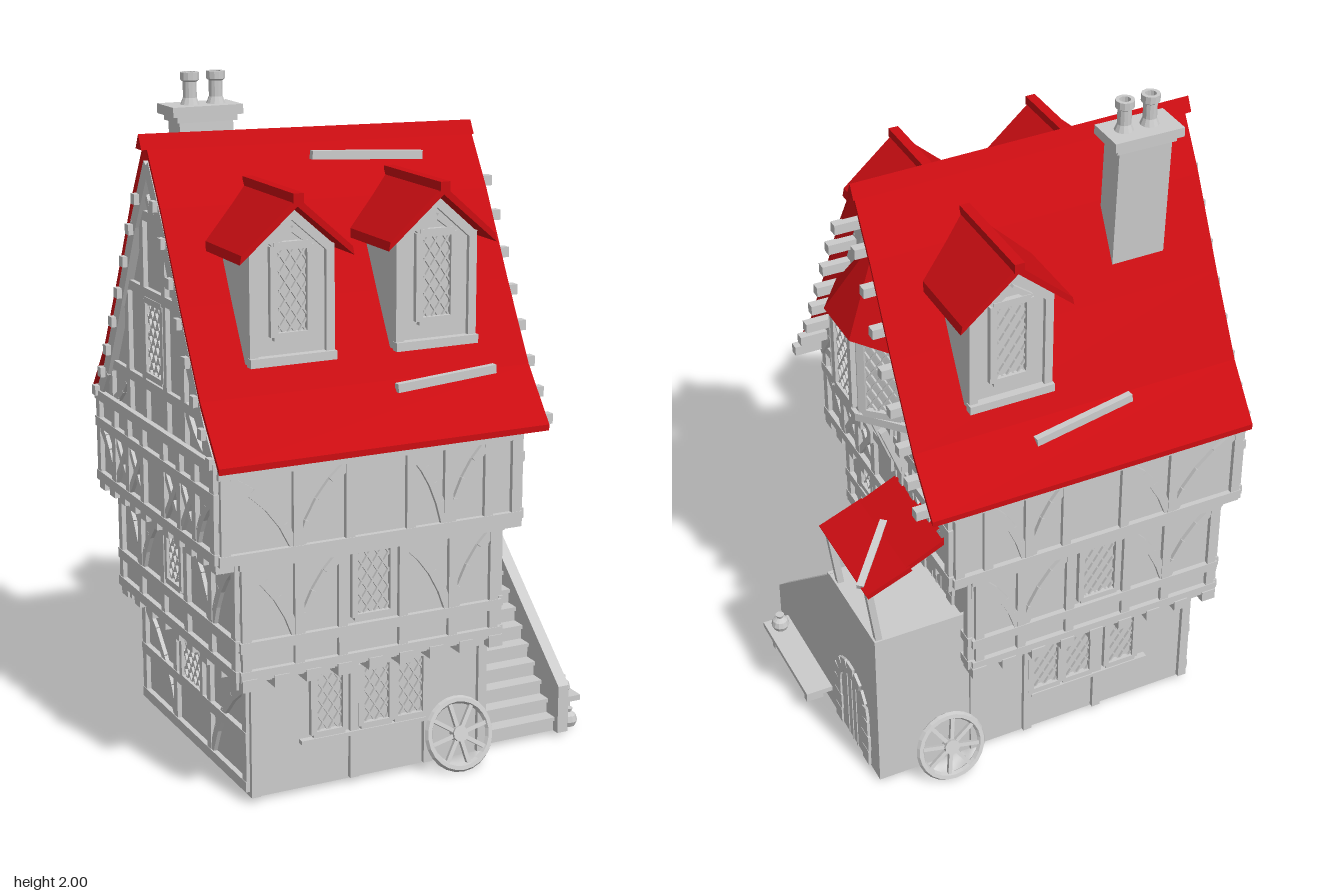
import * as THREE from 'three';

const grey = new THREE.MeshStandardMaterial({ color: 0xcccccc, flatShading: true, side: THREE.DoubleSide });
const red = new THREE.MeshStandardMaterial({ color: 0xcc0d12, flatShading: true, side: THREE.DoubleSide });

function add(parent, name, geo, mat = grey, x = 0, y = 0, z = 0) {
  const m = new THREE.Mesh(geo, mat);
  m.name = name;
  m.position.set(x, y, z);
  parent.add(m);
  return m;
}
// Box from its limits
const block = (g, name, x0, x1, y0, y1, z0, z1, mat) =>
  add(g, name, new THREE.BoxGeometry(x1 - x0, y1 - y0, z1 - z0), mat, (x0 + x1) / 2, (y0 + y1) / 2, (z0 + z1) / 2);
// Box stretched between two points
function strut(g, name, a, b, w, h, mat) {
  const p = new THREE.Vector3(...a), q = new THREE.Vector3(...b);
  const m = add(g, name, new THREE.BoxGeometry(w, h, p.distanceTo(q)), mat);
  m.position.copy(p).lerp(q, 0.5);
  m.lookAt(q);
}
const extrude = (pts, depth) => new THREE.ExtrudeGeometry(
  new THREE.Shape(pts.map(p => new THREE.Vector2(...p))), { depth, bevelEnabled: false });
// Prism along x from [z, y] points
const prismX = (pts, x0, x1) => extrude(pts.map(([z, y]) => [-z, y]), x1 - x0).rotateY(Math.PI / 2).translate(x0, 0, 0);

// Wall plane: local x runs along the wall, z points outward
function wall(parent, name, x, z, turn) {
  const g = new THREE.Group();
  g.name = name;
  g.position.set(x, 0, z);
  g.rotation.y = turn;
  parent.add(g);
  return g;
}
function bar(g, u0, v0, u1, v1, w = 0.028, d = 0.014, name = 'timber') {
  const m = add(g, name, new THREE.BoxGeometry(Math.hypot(u1 - u0, v1 - v0), w, d), grey, (u0 + u1) / 2, (v0 + v1) / 2, d / 2);
  m.rotation.z = Math.atan2(v1 - v0, u1 - u0);
}
// Curved brace
function brace(g, u0, v0, u1, v1) {
  const c = new THREE.QuadraticBezierCurve(new THREE.Vector2(u0, v0),
    new THREE.Vector2(u0 + (u1 - u0) * 0.3, v0 + (v1 - v0) * 0.65), new THREE.Vector2(u1, v1));
  const p = c.getPoints(4);
  for (let i = 0; i < 4; i++) bar(g, p[i].x, p[i].y, p[i + 1].x, p[i + 1].y, 0.026, 0.012, 'brace');
}
// Leaded window with diamond lattice
function leadWindow(g, u, v, w, h, frame = 0.018) {
  for (const s of [-1, 1]) {
    bar(g, u + s * w / 2, v - h / 2, u + s * w / 2, v + h / 2, frame, 0.016, 'windowFrame');
    bar(g, u - w / 2, v + s * h / 2, u + w / 2, v + s * h / 2, frame, 0.016, 'windowFrame');
    for (let c = -h; c <= h; c += 0.05) {
      const a = Math.max(-w / 2, (-h / 2 - c) / 1.5), b = Math.min(w / 2, (h / 2 - c) / 1.5);
      if (b - a > 0.01) bar(g, u + s * a, v + 1.5 * a + c, u + s * b, v + 1.5 * b + c, 0.005, 0.008, 'lattice');
    }
  }
}
// Arched doorway of separate stones
function stoneArch(g, u, v, r, spring, t) {
  add(g, 'doorLeaf', extrude([[-r, v], [r, v], ...Array.from({ length: 9 }, (_, i) =>
    [r * Math.cos(i * Math.PI / 8), spring + r * Math.sin(i * Math.PI / 8)])], 0.003), grey, u);
  for (let i = 0; i < 7; i++) {
    const a = (i + 0.5) * Math.PI / 7, R = r + t / 2;
    const m = add(g, 'archStone', new THREE.BoxGeometry(t, R * 0.43, 0.016), grey, u + R * Math.cos(a), spring + R * Math.sin(a), 0.001);
    m.rotation.z = a;
  }
  for (const s of [-1, 1]) for (let i = 0; i < 3; i++) {
    const h = (spring - v) / 3;
    add(g, 'jambStone', new THREE.BoxGeometry(t + 0.008 * (i % 2), h * 0.94, 0.016), grey, u + s * (r + t / 2), v + h * (i + 0.5), 0.001);
  }
  for (const k of [-0.4, 0, 0.4]) bar(g, u + k * r, v, u + k * r, spring + r * 0.85, 0.005, 0.006, 'doorSeam');
}
// Storey framing: rails plus posts
function framing(g, u0, u1, rails, posts) {
  for (const v of rails) bar(g, u0, v, u1, v, 0.03, 0.016);
  for (const u of posts) bar(g, u, rails[0], u, rails[rails.length - 1]);
}
function joists(g, u0, u1, v, n, out = 0.02) {
  for (let i = 0; i < n; i++)
    add(g, 'joistEnd', new THREE.BoxGeometry(0.045, 0.035, 0.09), grey, u0 + (u1 - u0) * i / (n - 1), v, out - 0.045);
}

// Half profile of the main roof, [z, y]
const slope = [[0, 1.845], [0.11, 1.665], [0.24, 1.415], [0.37, 1.18], [0.49, 1.025]];
function roofY(z) {
  z = Math.abs(z);
  const i = Math.max(1, slope.findIndex(p => p[0] >= z));
  const [a, b] = [slope[i - 1], slope[i]];
  return a[1] + (b[1] - a[1]) * (z - a[0]) / (b[0] - a[0]);
}
const bothSides = (pts, dy) => [...pts.slice(1).reverse().map(([z, y]) => [-z, y + dy]), ...pts.map(([z, y]) => [z, y + dy])];
// Ridge sinks slightly toward the right end
function sag(geo) {
  const p = geo.attributes.position;
  for (let i = 0; i < p.count; i++) p.setY(i, p.getY(i) - (p.getX(i) + 0.62) * 0.022 * (p.getY(i) - 1));
  geo.computeVertexNormals();
  return geo;
}

function dormer(root, x, turn) {
  const g = wall(root, 'dormer', x, 0, turn);
  add(g, 'dormerBody', extrude([[-0.125, 1.26], [0.125, 1.26], [0.125, 1.58], [0, 1.69], [-0.125, 1.58]], 0.3), grey, 0, 0, 0.05);
  add(g, 'dormerRoof', extrude([[-0.17, 1.55], [-0.165, 1.575], [0, 1.72], [0.165, 1.575], [0.17, 1.55], [0, 1.695]], 0.325), red, 0, 0, 0.075);
  block(g, 'dormerRidge', -0.015, 0.015, 1.705, 1.732, 0.07, 0.408, red);
  const f = wall(g, 'dormerFront', 0, 0.35, 0);
  leadWindow(f, 0, 1.46, 0.11, 0.25, 0.022);
  for (const s of [-1, 1]) {
    bar(f, s * 0.115, 1.27, s * 0.115, 1.58, 0.025);
    bar(f, s * 0.115, 1.57, 0, 1.67, 0.025);
    bar(f, s * 0.06, 1.585, 0, 1.63, 0.016);
  }
  bar(f, -0.13, 1.27, 0.13, 1.27, 0.025, 0.025, 'dormerSill');
}

function wheel(root, x, z, tilt) {
  const g = new THREE.Group();
  g.name = 'cartWheel';
  add(g, 'rim', new THREE.TorusGeometry(0.1, 0.012, 6, 24));
  add(g, 'hub', new THREE.CylinderGeometry(0.024, 0.024, 0.028, 10).rotateX(Math.PI / 2));
  for (let i = 0; i < 4; i++) add(g, 'spokes', new THREE.BoxGeometry(0.2, 0.012, 0.012)).rotation.z = i * Math.PI / 4 + 0.2;
  g.position.set(x, 0.11, z);
  g.rotation.x = tilt;
  root.add(g);
}

export function createModel() {
  const root = new THREE.Group();
  root.name = 'timberHouse';
  const H = Math.PI / 2;

  // Ground floor walls, open underneath, with stacked storeys above
  for (const s of [-1, 1]) {
    block(root, 'groundWallLong', -0.5, 0.25, 0.015, 0.4, s * 0.395 - 0.005, s * 0.395 + 0.005);
    block(root, 'groundWallShort', s * 0.37 - 0.13, s * 0.37 - 0.12, 0.015, 0.4, -0.4, 0.4);
  }
  block(root, 'firstFloor', -0.55, 0.265, 0.385, 0.75, -0.45, 0.45);
  block(root, 'secondFloor', -0.61, 0.325, 0.735, 1.02, -0.455, 0.455);
  add(root, 'gableBlock', prismX(bothSides([...slope.slice(0, 4), [0.455, 1.04]], -0.04), -0.595, 0.325));

  // Front and back framing
  for (const s of [1, -1]) {
    const t = s > 0 ? 0 : Math.PI, X = x => s * x;
    const g0 = wall(root, 'groundFraming', 0, s * 0.4, t);
    for (const x of [-0.49, -0.18, 0.06, 0.24]) bar(g0, X(x), 0.02, X(x), 0.39);
    bar(g0, X(-0.35), 0.16, X(0.05), 0.16, 0.012, 0.02, 'windowSill');
    for (const x of [-0.26, -0.11, 0]) leadWindow(g0, X(x), 0.27, 0.1, 0.19);
    joists(g0, X(-0.53), X(0.25), 0.385, 9, 0.07);

    const g1 = wall(root, 'firstFraming', 0, s * 0.45, t);
    framing(g1, X(-0.555), X(0.27), [0.41, 0.495, 0.735], [-0.535, -0.375, -0.24, -0.05, 0.11, 0.245].map(X));
    leadWindow(g1, X(-0.145), 0.63, 0.12, 0.2);
    for (const [a, b] of [[-0.38, -0.53], [0.115, 0.24], [-0.375, -0.25], [0.1, -0.04]]) brace(g1, X(a), 0.5, X(b), 0.72);

    const g2 = wall(root, 'secondFraming', 0, s * 0.455, t);
    framing(g2, X(-0.615), X(0.33), [0.755, 1], [-0.595, -0.38, -0.22, -0.03, 0.09, 0.22, 0.31].map(X));
    for (const [a, b] of [[-0.39, -0.58], [-0.37, -0.23], [0.08, -0.02], [0.1, 0.21]]) brace(g2, X(a), 0.77, X(b), 0.98);
  }

  // Side framing; u is -z on the right wall and z on the left
  for (const s of [1, -1]) {
    const right = s > 0;
    const g0 = wall(root, 'groundSide', right ? 0.25 : -0.5, 0, s * H);
    if (right) leadWindow(g0, -0.3, 0.3, 0.1, 0.16);
    else {
      framing(g0, -0.4, 0.4, [0.05, 0.2, 0.36], [-0.385, -0.13, 0.13, 0.385]);
      leadWindow(g0, 0, 0.28, 0.16, 0.14);
      brace(g0, -0.14, 0.06, -0.37, 0.34);
      brace(g0, 0.14, 0.06, 0.37, 0.34);
    }
    joists(g0, -0.42, 0.42, 0.385, 9, right ? 0.02 : 0.06);

    const g1 = wall(root, 'firstSide', right ? 0.265 : -0.55, 0, s * H);
    framing(g1, -0.455, 0.455, [0.41, 0.5, 0.73], right ? [-0.435, -0.35, -0.22, -0.14, -0.01, 0.435] : [-0.435, -0.27, -0.09, 0.09, 0.27, 0.435]);
    if (right) {
      for (const u of [-0.285, -0.075]) leadWindow(g1, u, 0.625, 0.09, 0.18);
      stoneArch(g1, 0.215, 0.54, 0.075, 0.66, 0.04);
    } else {
      leadWindow(g1, 0, 0.625, 0.11, 0.18);
      for (const k of [-1, 1]) { brace(g1, k * 0.28, 0.51, k * 0.42, 0.72); brace(g1, k * 0.26, 0.51, k * 0.1, 0.72); }
    }
    joists(g1, -0.43, 0.43, 0.735, 11, right ? 0.075 : 0.07);

    const g2 = wall(root, 'secondSide', right ? 0.325 : -0.61, 0, s * H);
    const posts = [-0.44, -0.31, -0.2, -0.08, 0.08, 0.2, 0.31, 0.44];
    framing(g2, -0.46, 0.46, [0.76, 0.93, 1.015], posts);
    for (const i of [1, 2, 4, 5]) {
      bar(g2, posts[i], 0.77, posts[i + 1], 0.92, 0.02, 0.012);
      bar(g2, posts[i], 0.92, posts[i + 1], 0.77, 0.02, 0.01);
    }
    for (const k of [-1, 1]) brace(g2, k * 0.32, 0.77, k * 0.43, 0.92);

    // Gable studs, rails and rafters
    const g3 = wall(root, 'gableSide', right ? 0.325 : -0.595, 0, s * H);
    for (const u of [-0.36, -0.21, -0.08, 0.08, 0.21, 0.36]) bar(g3, u, 1.01, u, roofY(u) - 0.06);
    for (const [v, w] of [[1.13, 0.36], [1.4, 0.21], [1.62, 0.1]]) bar(g3, -w, v, w, v);
    const feet = [0, 0.11, 0.24, 0.37, 0.445];
    for (const k of [-1, 1]) {
      for (let i = 0; i < 4; i++) bar(g3, k * feet[i], roofY(feet[i]) - 0.075, k * feet[i + 1], roofY(feet[i + 1]) - 0.075, 0.04, 0.025, 'rafter');
      brace(g3, k * 0.22, 1.14, k * 0.35, 1.015);
      bar(g3, 0, 1.62, k * 0.05, 1.7, 0.018);
    }
    if (!right) leadWindow(g3, 0, 1.27, 0.13, 0.22);
    // Purlin ends below the roof edge
    for (const k of [-1, 1]) for (let i = 0; i < 8; i++) {
      const z = 0.07 + i * 0.053, y = roofY(z + 0.014) - 0.026;
      block(root, 'purlinEnd', right ? 0.31 : -0.635, right ? 0.435 : -0.58, y - 0.03, y, k * z - 0.014, k * z + 0.014);
    }
  }

  // Main roof shell with ridge cap
  const outer = bothSides(slope, 0), inner = bothSides(slope, -0.018).reverse();
  add(root, 'mainRoof', sag(prismX([...outer, ...inner], -0.622, 0.402)), red);
  add(root, 'ridgeCap', sag(prismX([[-0.022, 1.815], [0, 1.857], [0.022, 1.815]], -0.64, 0.407)), red);
  for (const [a, b] of [[[-0.14, 1.775, 0.055], [0.21, 1.755, 0.06]], [[-0.04, 1.16, 0.395], [0.28, 1.18, 0.385]],
    [[-0.27, 1.17, -0.385], [0.045, 1.13, -0.41]]]) strut(root, 'roofPlank', a, b, 0.02, 0.025);

  dormer(root, -0.345, 0);
  dormer(root, 0.1, 0);
  dormer(root, 0.1, Math.PI);

  // Chimney with two pots
  strut(root, 'chimneyStack', [-0.383, 1.4, -0.15], [-0.383, 1.885, -0.17], 0.165, 0.085);
  block(root, 'chimneyCap', -0.49, -0.275, 1.88, 1.908, -0.235, -0.112);
  block(root, 'chimneyCollar', -0.475, -0.29, 1.862, 1.885, -0.22, -0.12);
  for (const x of [-0.415, -0.335]) add(root, 'chimneyPot', new THREE.LatheGeometry(
    [[0.028, 0], [0.02, 0.02], [0.02, 0.065], [0.027, 0.07], [0.027, 0.092], [0.016, 0.092], [0.016, 0.05], [0, 0.05]]
      .map(p => new THREE.Vector2(...p)), 12), grey, x, 1.908, -0.17);

  // Oriel bay on the right gable
  const bay = (k, n = 1) => [[0.3, -0.19 * k], [0.335 * n, -0.19 * k], [0.44 * n, -0.075 * k], [0.44 * n, 0.075 * k], [0.335 * n, 0.19 * k], [0.3, 0.19 * k]];
  const slab = (name, pts, y, h) => add(root, name, extrude(pts, h).rotateX(-H), grey, 0, y);
  slab('orielBody', bay(1), 1.13, 0.28);
  slab('orielSill', bay(1.06, 1.03), 1.115, 0.025);
  for (const [x, z, t, w] of [[0.44, 0, H, 0.12], [0.3875, 0.1325, 0.74, 0.115], [0.3875, -0.1325, Math.PI - 0.74, 0.115]])
    leadWindow(wall(root, 'orielFace', x, z, t), 0, 1.275, w, 0.24, 0.022);
  const eave = [[0.31, 1.4, 0.23], [0.375, 1.4, 0.215], [0.465, 1.4, 0.09], [0.465, 1.4, -0.09], [0.375, 1.4, -0.215], [0.31, 1.4, -0.23]];
  const tris = [];
  for (let i = 0; i < 5; i++) tris.push(0.335, 1.65, 0, ...eave[i], ...eave[i + 1]);
  const orielRoof = new THREE.BufferGeometry();
  orielRoof.setAttribute('position', new THREE.Float32BufferAttribute(tris, 3));
  orielRoof.computeVertexNormals();
  add(root, 'orielRoof', orielRoof, red);
  for (const z of [-0.15, -0.075, 0.075, 0.15]) {
    strut(root, 'orielBracket', [0.33, 0.92, z], [0.4, 1.11, z], 0.022, 0.022);
    block(root, 'orielPost', 0.325, 0.35, 0.9, 1.12, z - 0.012, z + 0.012);
  }

  // Outside stair of thin risers and treads, open underneath
  for (let i = 0; i < 11; i++) {
    const y = 0.06 + i * 0.046, z = 0.37 - i * 0.04;
    block(root, 'stairRiser', 0.245, 0.52, y - (i ? 0.058 : 0.045), y - 0.012, z - 0.01, z);
    block(root, 'stairTread', 0.245, 0.52, y - 0.012, y, z - 0.05, z + 0.008);
  }
  // Landing and outer walls
  block(root, 'landing', 0.245, 0.545, 0.525, 0.545, -0.4, -0.03);
  block(root, 'landingBackWall', 0.245, 0.55, 0.015, 0.57, -0.405, -0.395);
  add(root, 'stairParapet', prismX([[0.395, 0.015], [0.395, 0.165], [-0.07, 0.57], [-0.405, 0.57], [-0.405, 0.015]], 0.517, 0.553));
  stoneArch(wall(root, 'cellarDoor', 0.553, 0, H), 0.215, 0.02, 0.08, 0.2, 0.045);

  // Porch roof on leaning posts
  strut(root, 'porchRoof', [0.32, 0.88, -0.25], [0.45, 0.818, -0.25], 0.33, 0.016, red);
  strut(root, 'porchRoofLower', [0.44, 0.82, -0.25], [0.577, 0.765, -0.25], 0.345, 0.016, red);
  strut(root, 'porchPlank', [0.43, 0.833, -0.21], [0.58, 0.772, -0.38], 0.022, 0.016);
  for (const z of [-0.11, -0.39]) {
    strut(root, 'porchPost', [0.535, 0.56, z], [0.562, 0.765, z], 0.02, 0.02);
    strut(root, 'porchRafter', [0.33, 0.86, z], [0.565, 0.757, z], 0.018, 0.018);
  }

  // Wheels, bench and jugs
  wheel(root, 0.14, 0.455, -0.3);
  wheel(root, 0.34, -0.455, 0.3);
  block(root, 'benchSeat', 0.555, 0.64, 0.075, 0.092, -0.045, 0.325);
  for (const z of [0, 0.27]) block(root, 'benchLeg', 0.57, 0.625, 0.015, 0.075, z, z + 0.022);
  const jug = [[0, 0], [0.022, 0], [0.029, 0.016], [0.024, 0.034], [0.01, 0.044], [0.014, 0.055], [0, 0.055]].map(p => new THREE.Vector2(...p));
  add(root, 'benchJug', new THREE.LatheGeometry(jug, 12), grey, 0.598, 0.092, 0.28);
  add(root, 'groundJug', new THREE.LatheGeometry(jug, 12), grey, 0.585, 0.012, 0.345);
  return root;
}
